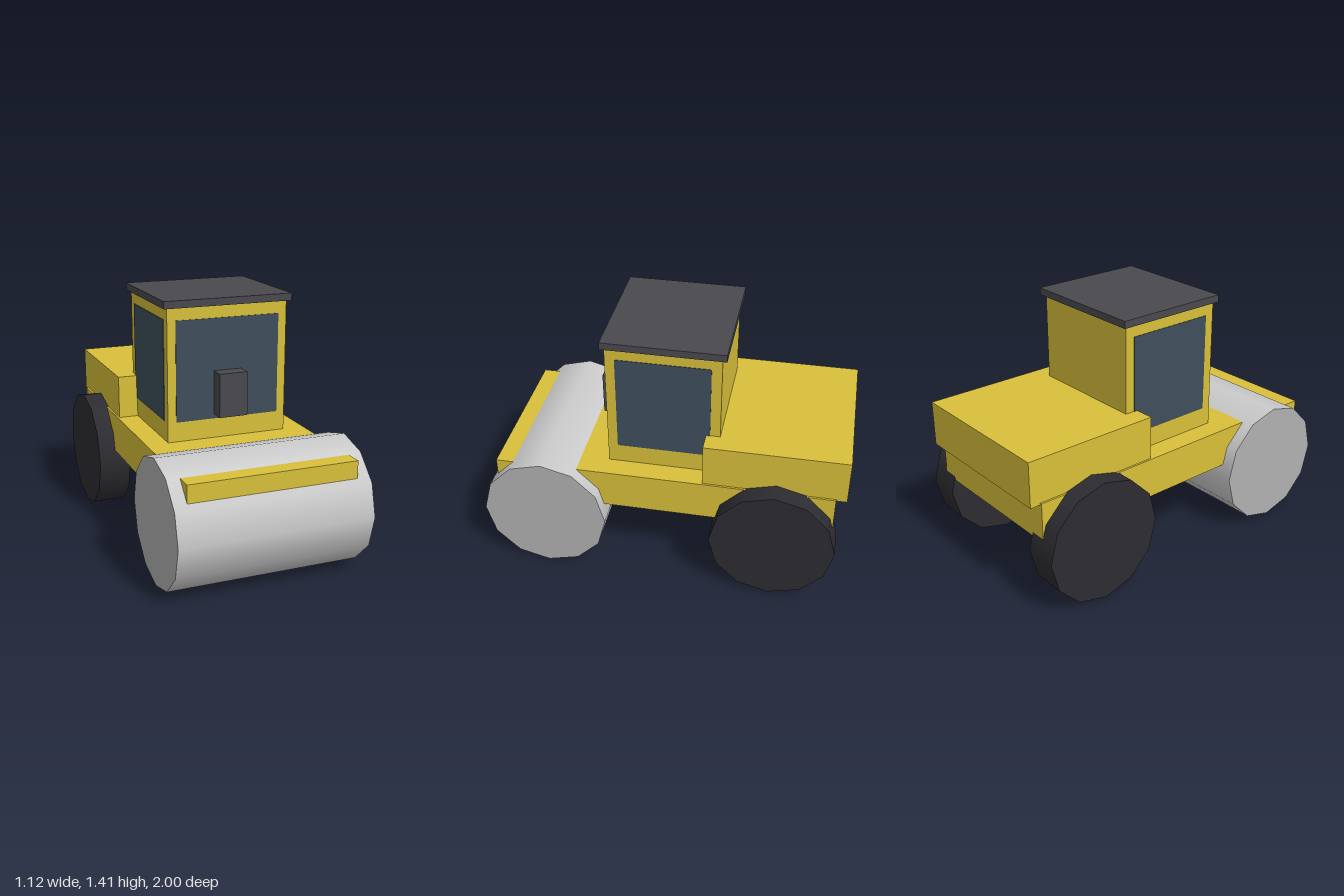
import * as THREE from 'three';

const mat = (color) => new THREE.MeshStandardMaterial({ color });
const yellow = mat(0xd8c03a);
const glass = mat(0x3f4f5c);
const dark = mat(0x4a494e);
const rubber = mat(0x2d2c31);
const steel = mat(0xc6c6c6);
const steelEnd = mat(0xb1b1b1);

export function createModel() {
  const model = new THREE.Group();
  model.name = 'roadRoller';

  const add = (name, geometry, material, x, y, z) => {
    const mesh = new THREE.Mesh(geometry, material);
    mesh.name = name;
    mesh.position.set(x, y, z);
    model.add(mesh);
    return mesh;
  };

  // Box given by its low and high limits on each axis
  const box = (name, material, [x0, x1], [y0, y1], [z0, z1]) =>
    add(name, new THREE.BoxGeometry(x1 - x0, y1 - y0, z1 - z0), material,
      (x0 + x1) / 2, (y0 + y1) / 2, (z0 + z1) / 2);

  // Twelve-sided roller lying along x
  const roller = (name, material, radius, width, x, y, z) =>
    add(name, new THREE.CylinderGeometry(radius, radius, width, 12).rotateZ(Math.PI / 2),
      material, x, y, z);

  // Chassis runs the full length, through the drum
  box('chassis', yellow, [-0.463, 0.463], [0.42, 0.645], [-0.942, 0.93]);
  box('engineHood', yellow, [-0.452, 0.452], [0.635, 0.887], [-1, -0.225]);

  // Cab with roof, windows and front box
  box('cab', yellow, [-0.341, 0.341], [0.64, 1.375], [-0.302, 0.314]);
  box('cabRoof', dark, [-0.363, 0.363], [1.372, 1.412], [-0.327, 0.333]);
  box('frontWindow', glass, [-0.294, 0.294], [0.754, 1.305], [0.30, 0.317]);
  box('frontBox', dark, [-0.08, 0.08], [0.78, 1.02], [0.31, 0.402]);

  // Front drum
  roller('drum', [steel, steelEnd, steelEnd], 0.348, 1.07, 0, 0.35, 0.653);

  for (const side of [-1, 1]) {
    const span = [side * 0.33, side * 0.344].sort((a, b) => a - b);
    box('sideWindow', glass, span, [0.754, 1.305], [-0.247, 0.261]);
    roller('rearWheel', rubber, 0.343, 0.186, side * 0.468, 0.346, -0.625);
  }

  return model;
}
